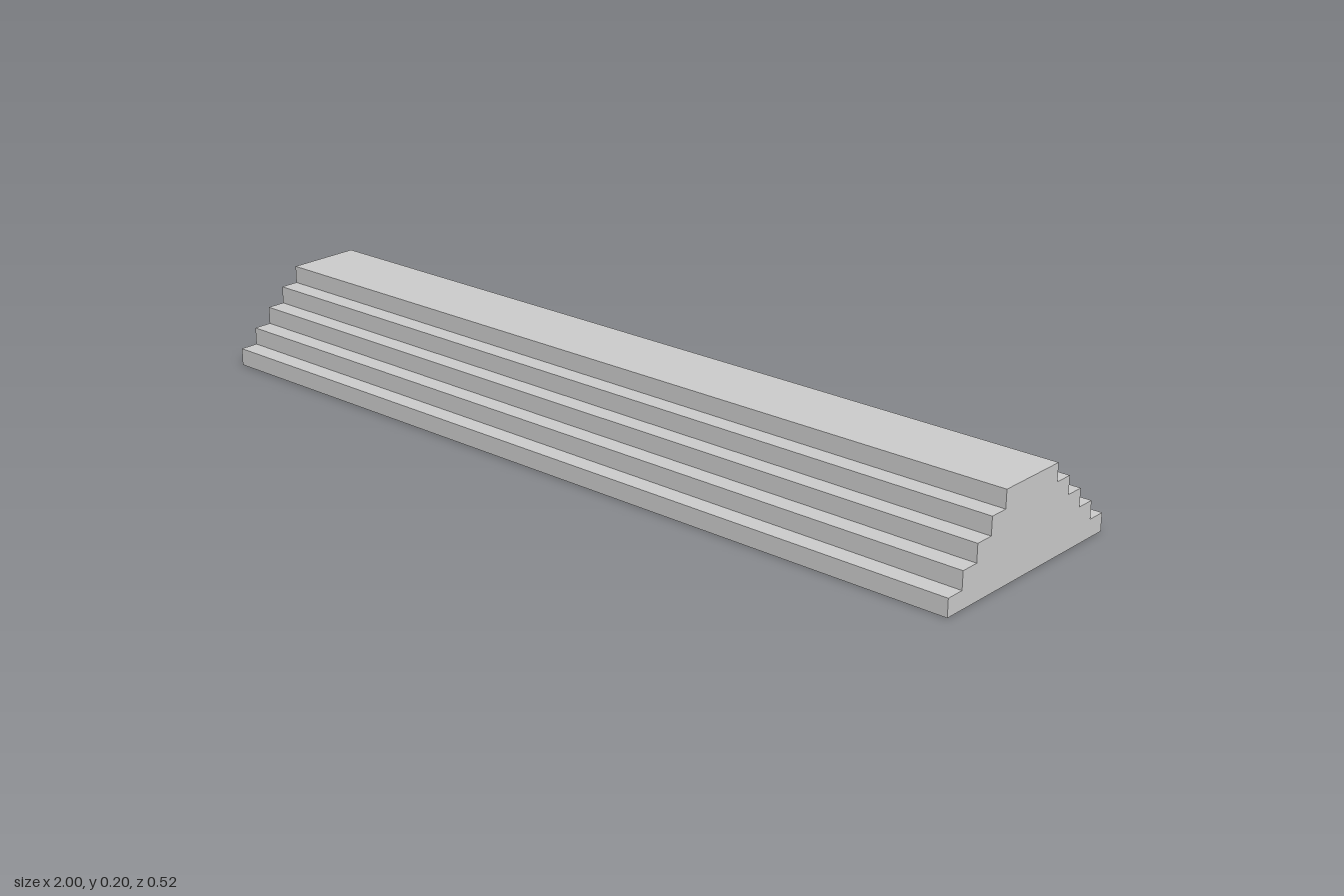
import * as THREE from 'three';

const LENGTH = 2;
const STEPS = 5;
const RISE = 0.04;
const TREAD = 0.0434;
const TOP_HALF = 0.087; // half depth of the top landing

export function createModel() {
  const group = new THREE.Group();
  group.name = 'doubleSidedSteps';

  // One side of the stepped profile, bottom to top, then mirrored
  const side = [];
  for (let i = 0; i < STEPS; i++) {
    const half = TOP_HALF + (STEPS - 1 - i) * TREAD;
    side.push(new THREE.Vector2(half, i * RISE), new THREE.Vector2(half, (i + 1) * RISE));
  }
  const mirrored = side.map((p) => new THREE.Vector2(-p.x, p.y)).reverse();

  // Solid block of steps running along x
  const geometry = new THREE.ExtrudeGeometry(new THREE.Shape([...side, ...mirrored]), {
    depth: LENGTH,
    bevelEnabled: false,
  });
  geometry.translate(0, 0, -LENGTH / 2).rotateY(Math.PI / 2);

  const steps = new THREE.Mesh(geometry, new THREE.MeshStandardMaterial({ color: 0xcccccc }));
  steps.name = 'steps';
  group.add(steps);
  return group;
}
